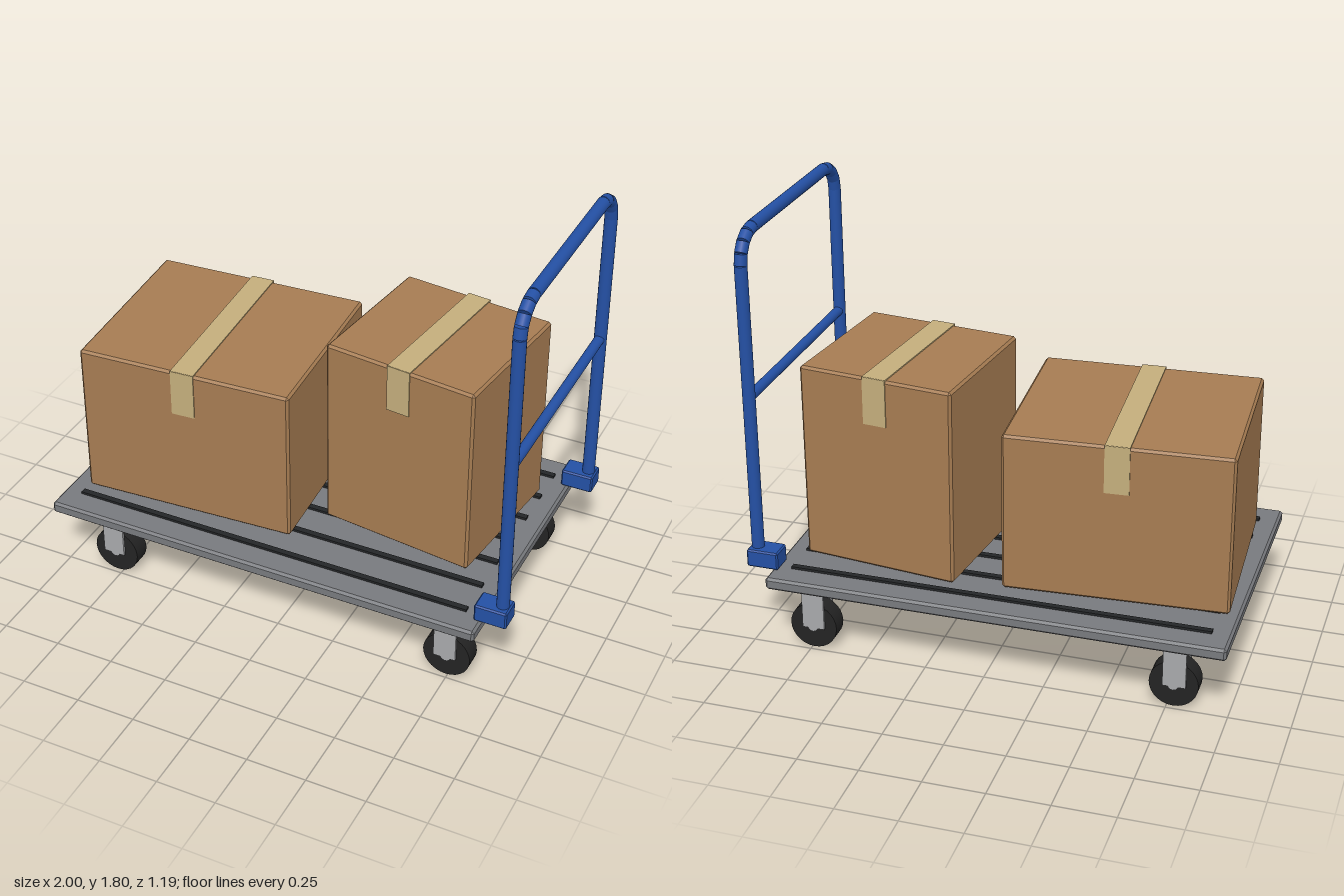
import * as THREE from 'three';
import { ConvexGeometry } from 'three/addons/geometries/ConvexGeometry.js';

const mat = (name, color) => {
  const m = new THREE.MeshStandardMaterial({ color });
  m.name = name;
  return m;
};

// Box with all edges chamfered by c
function chamferBox(w, h, d, c) {
  const pts = [];
  for (const sx of [-1, 1]) for (const sy of [-1, 1]) for (const sz of [-1, 1]) {
    const x = sx * w / 2, y = sy * h / 2, z = sz * d / 2;
    pts.push(
      new THREE.Vector3(x, y - sy * c, z - sz * c),
      new THREE.Vector3(x - sx * c, y, z - sz * c),
      new THREE.Vector3(x - sx * c, y - sy * c, z)
    );
  }
  return new ConvexGeometry(pts);
}

function add(parent, name, geometry, material, x = 0, y = 0, z = 0) {
  const mesh = new THREE.Mesh(geometry, material);
  mesh.name = name;
  mesh.position.set(x, y, z);
  parent.add(mesh);
  return mesh;
}

// Straight round bar between two points
function addBar(parent, name, a, b, r, material) {
  const dir = b.clone().sub(a);
  const mesh = add(parent, name, new THREE.CylinderGeometry(r, r, dir.length(), 20), material);
  mesh.position.copy(a).add(b).multiplyScalar(0.5);
  mesh.quaternion.setFromUnitVectors(new THREE.Vector3(0, 1, 0), dir.normalize());
}

export function createModel() {
  const deckGrey = mat('deck grey', 0x787a7e);
  const gripBlack = mat('grip black', 0x242628);
  const blue = mat('handle blue', 0x2450a4);
  const metal = mat('caster metal', 0xa8a9ab);
  const rubber = mat('wheel rubber', 0x232323);
  const cardboard = mat('cardboard', 0xa67c52);
  const tape = mat('packing tape', 0xc4ae7c);

  const model = new THREE.Group();
  model.name = 'platformTrolley';

  // Deck with grip strips
  add(model, 'deck', chamferBox(1.895, 0.052, 1.194, 0.01), deckGrey, -0.0525, 0.335, 0);
  for (let i = -3; i <= 3; i++) {
    add(model, 'gripStrip', new THREE.BoxGeometry(1.742, 0.012, 0.025), gripBlack, -0.05, 0.365, i * 0.16);
  }

  // Swivel casters
  for (const x of [-0.8, 0.717]) for (const z of [-0.441, 0.441]) {
    const caster = new THREE.Group();
    caster.name = 'caster';
    caster.position.set(x, 0, z);
    model.add(caster);
    add(caster, 'mountPlate', new THREE.BoxGeometry(0.16, 0.018, 0.156), metal, 0, 0.301, 0);
    add(caster, 'swivel', new THREE.CylinderGeometry(0.04, 0.04, 0.048, 20), metal, 0, 0.27, 0);
    add(caster, 'forkTop', new THREE.BoxGeometry(0.094, 0.008, 0.104), metal, 0.02, 0.246, 0);
    for (const s of [-1, 1]) {
      add(caster, 'forkSide', new THREE.BoxGeometry(0.094, 0.154, 0.01), metal, 0.02, 0.172, s * 0.047);
    }
    const wheel = add(caster, 'wheel', new THREE.CylinderGeometry(0.1, 0.1, 0.076, 28), rubber, 0.024, 0.1, 0);
    wheel.rotation.x = Math.PI / 2;
    const axle = add(caster, 'axle', new THREE.CylinderGeometry(0.022, 0.022, 0.1, 12), metal, 0.024, 0.1, 0);
    axle.rotation.x = Math.PI / 2;
  }

  // Push handle: posts, segmented bends, top bar and cross bar
  const handle = new THREE.Group();
  handle.name = 'handle';
  model.add(handle);
  const hx = 0.967, hz = 0.482, topY = 1.774, bend = 0.117, r = 0.026, steps = 4;
  const V = (y, z) => new THREE.Vector3(hx, y, z);
  for (const s of [-1, 1]) {
    add(handle, 'handleFoot', chamferBox(0.135, 0.076, 0.096, 0.006), blue, 0.9325, 0.402, s * hz);
    addBar(handle, 'handlePost', V(0.38, s * hz), V(topY - bend, s * hz), r, blue);
    const arc = (i) => {
      const a = (i / steps) * Math.PI / 2;
      return V(topY - bend + bend * Math.sin(a), s * (hz - bend + bend * Math.cos(a)));
    };
    for (let i = 0; i < steps; i++) addBar(handle, 'handleBend', arc(i), arc(i + 1), r, blue);
  }
  addBar(handle, 'handleTop', V(topY, bend - hz), V(topY, hz - bend), r, blue);
  addBar(handle, 'crossBar', V(1.103, -hz), V(1.103, hz), 0.021, blue);

  // Taped cardboard boxes
  function addCarton(name, w, h, d, x, z, turn) {
    const carton = new THREE.Group();
    carton.name = name;
    carton.position.set(x, 0.371, z);
    carton.rotation.y = turn;
    model.add(carton);
    add(carton, 'carton', chamferBox(w, h, d, 0.01), cardboard, 0, h / 2, 0);
    add(carton, 'topTape', new THREE.BoxGeometry(0.1, 0.006, d + 0.004), tape, 0, h + 0.002, 0);
    for (const s of [-1, 1]) {
      add(carton, 'endTape', new THREE.BoxGeometry(0.1, 0.202, 0.006), tape, 0, h - 0.097, s * (d / 2 + 0.001));
    }
  }
  addCarton('wideCarton', 0.916, 0.674, 0.787, -0.481, 0.014, 0.058);
  addCarton('tallCarton', 0.663, 0.836, 0.628, 0.437, -0.083, -0.122);

  return model;
}
